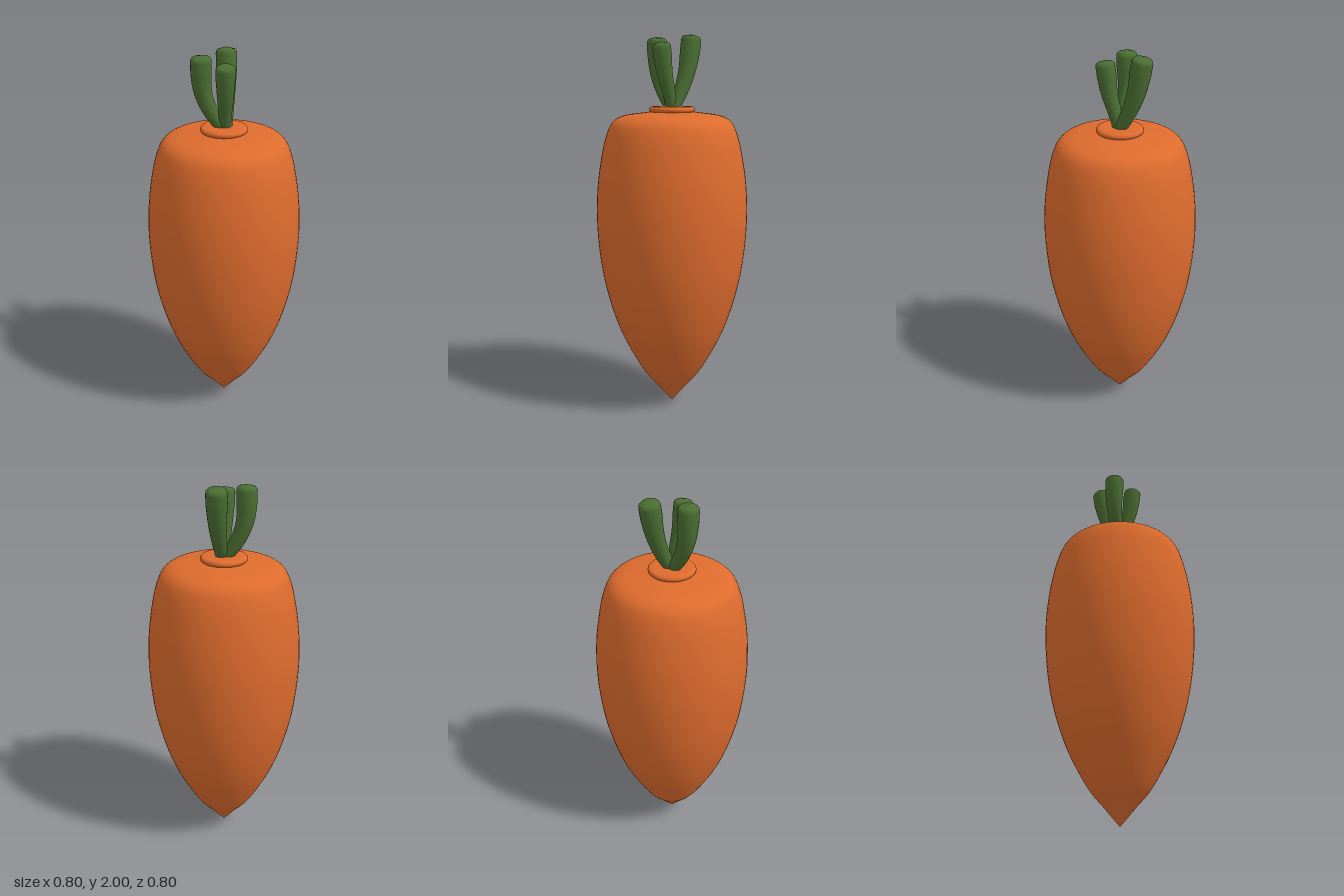
import * as THREE from 'three';
import { mergeVertices } from 'three/addons/utils/BufferGeometryUtils.js';

const orange = new THREE.MeshStandardMaterial({ color: 0xdd6b2d });
const green = new THREE.MeshStandardMaterial({ color: 0x4a6e32 });

function part(name, geometry, material) {
  const mesh = new THREE.Mesh(geometry, material);
  mesh.name = name;
  return mesh;
}

// Smooth turned solid from [radius, height] pairs, bottom to top
function turned(profile, steps) {
  const curve = new THREE.SplineCurve(profile.map(([r, y]) => new THREE.Vector2(r, y)));
  const points = curve.getPoints(steps);
  points.forEach(p => { p.x = Math.max(p.x, 0); });
  return new THREE.LatheGeometry(points, 64);
}

// Curved stalk that widens upwards and ends in a softly rounded tip
function stalk(points, topRadius) {
  const rings = 44, sides = 24;
  const path = new THREE.CatmullRomCurve3(points.map(p => new THREE.Vector3(...p)));
  const tube = new THREE.TubeGeometry(path, rings, 1, sides);
  const pos = tube.attributes.position, v = new THREE.Vector3();
  for (let i = 0; i <= rings; i++) {
    const t = i / rings, centre = path.getPointAt(t);
    let radius = topRadius * (0.55 + 0.45 * Math.min(1, t * 1.25));
    if (i === rings - 2) radius *= 0.96;
    if (i === rings - 1) radius *= 0.8;
    if (i === rings) radius = 0;
    for (let j = 0; j <= sides; j++) {
      const k = i * (sides + 1) + j;
      v.fromBufferAttribute(pos, k).sub(centre).multiplyScalar(radius).add(centre);
      pos.setXYZ(k, v.x, v.y, v.z);
    }
  }
  // Weld the seam so the shading stays smooth all round
  tube.deleteAttribute('uv');
  tube.deleteAttribute('normal');
  const welded = mergeVertices(tube, 1e-5);
  welded.computeVertexNormals();
  return welded;
}

export function createModel() {
  const group = new THREE.Group();
  group.name = 'carrot';

  // Tapering root with a rounded shoulder
  group.add(part('root', turned([
    [0, 0], [0.075, 0.09], [0.165, 0.2], [0.272, 0.4], [0.341, 0.6], [0.382, 0.8],
    [0.4, 1.02], [0.393, 1.22], [0.365, 1.4], [0.335, 1.505], [0.302, 1.555],
    [0.25, 1.58], [0.17, 1.592], [0.08, 1.602], [0, 1.604],
  ], 112), orange));

  // Small raised disc the stalks grow from
  group.add(part('crown', turned([
    [0.1, 1.59], [0.115, 1.6], [0.12, 1.611], [0.115, 1.622],
    [0.1, 1.627], [0.05, 1.627], [0, 1.627],
  ], 36), orange));

  // Leaf stalks cut short
  const stalks = {
    rightStalk: [[[0.005, 1.6, 0], [-0.065, 1.7, 0.003], [-0.105, 1.81, 0.007], [-0.112, 1.985, 0.012]], 0.052],
    backStalk: [[[0.01, 1.6, 0.01], [0.012, 1.69, -0.043], [0.014, 1.81, -0.09], [0.012, 1.995, -0.125]], 0.053],
    frontStalk: [[[0.005, 1.6, 0], [0.006, 1.7, 0.026], [0.007, 1.8, 0.055], [0.007, 1.955, 0.078]], 0.048],
  };
  for (const [name, [points, radius]] of Object.entries(stalks)) {
    group.add(part(name, stalk(points, radius), green));
  }
  return group;
}
